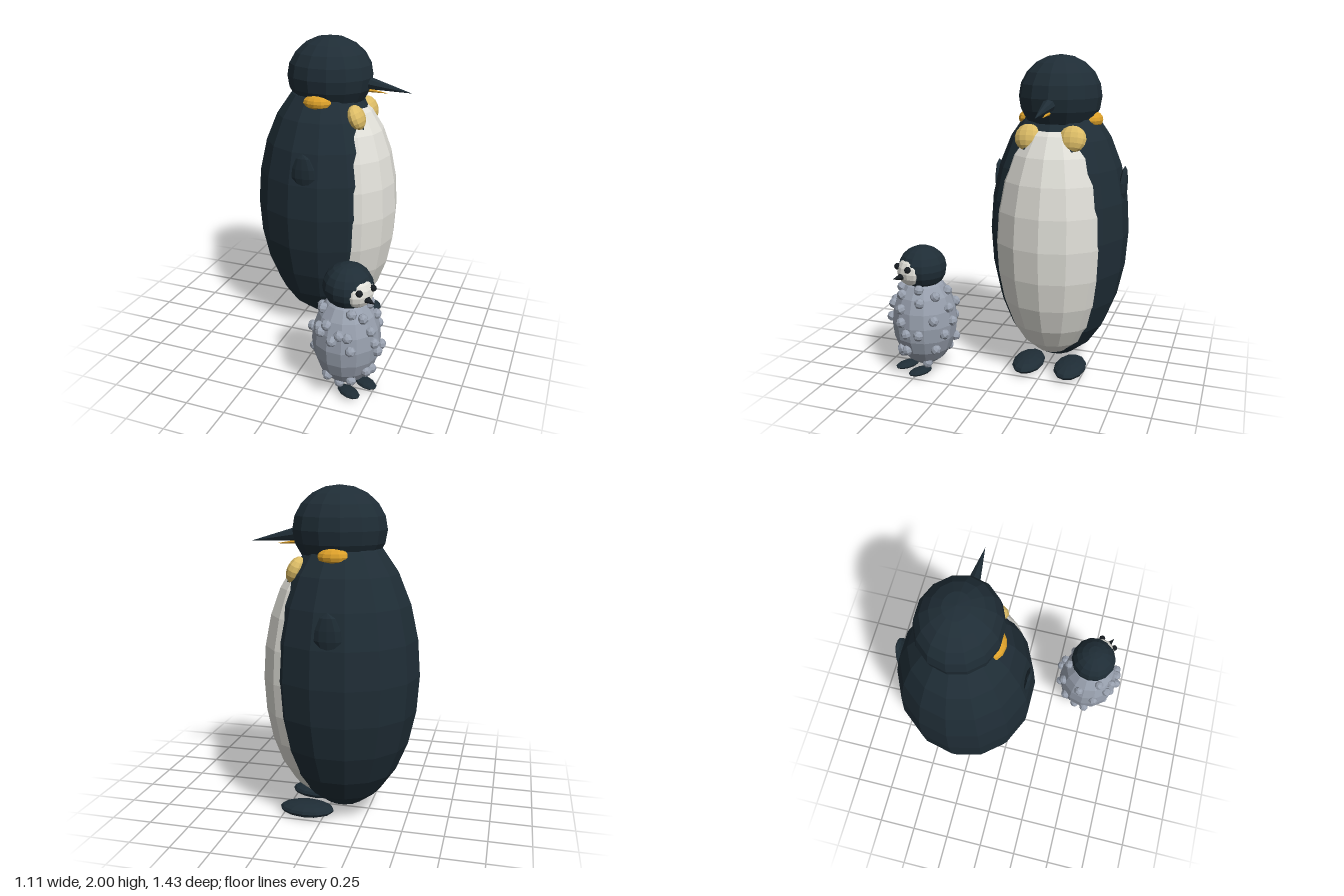
import * as THREE from 'three';

const paint = (name, color) => {
  const m = new THREE.MeshStandardMaterial({ color, flatShading: true });
  m.name = name;
  return m;
};

export function createModel() {
  const dark = paint('slate black', 0x1f2d36);
  const white = paint('belly white', 0xe0dfd8);
  const gold = paint('gold', 0xdca02a);
  const pale = paint('pale yellow', 0xdcbc66);
  const grey = paint('down grey', 0x98a0ae);
  const black = paint('beak black', 0x171c21);

  const add = (parent, name, geo, mat, pos) => {
    const mesh = new THREE.Mesh(geo, mat);
    mesh.name = name;
    mesh.position.set(...pos);
    parent.add(mesh);
    return mesh;
  };
  const ball = (parent, name, mat, pos, radii, w = 14, h = 10) =>
    add(parent, name, new THREE.SphereGeometry(1, w, h).scale(...radii), mat, pos);
  // Cone stretched from a base point to a tip in the xy plane
  const spike = (parent, name, mat, from, to, radius, sides = 8) => {
    const dx = to[0] - from[0], dy = to[1] - from[1];
    const geo = new THREE.ConeGeometry(radius, Math.hypot(dx, dy), sides);
    const mesh = add(parent, name, geo, mat, [(from[0] + to[0]) / 2, (from[1] + to[1]) / 2, 0]);
    mesh.rotation.z = Math.atan2(dy, dx) - Math.PI / 2;
    return mesh;
  };

  const root = new THREE.Group();
  root.name = 'penguinFamily';

  // Adult, facing +x
  const adult = new THREE.Group();
  adult.name = 'adult';
  adult.position.z = -0.283;
  root.add(adult);
  ball(adult, 'adultBody', dark, [-0.1, 0.9, 0], [0.455, 0.85, 0.44], 14, 12);
  ball(adult, 'adultBelly', white, [0.03, 0.873, 0], [0.36, 0.763, 0.375], 14, 12);
  ball(adult, 'adultHead', dark, [-0.07, 1.75, 0], [0.281, 0.25, 0.254], 14, 10);
  spike(adult, 'upperBeak', dark, [0.16, 1.72], [0.47, 1.67], 0.045);
  spike(adult, 'lowerBeak', gold, [0.16, 1.672], [0.32, 1.657], 0.016, 6);

  const flipperProfile = [[0, -0.12], [0.055, -0.1], [0.082, -0.04], [0.075, 0.02], [0.045, 0.09], [0, 0.12]]
    .map(([x, y]) => new THREE.Vector2(x, y));
  for (const s of [1, -1]) {
    ball(adult, 'neckPatch', gold, [-0.083, 1.61, s * 0.2], [0.095, 0.052, 0.066], 12, 8);
    const chest = ball(adult, 'chestPatch', pale, [0.155, 1.52, s * 0.135], [0.052, 0.082, 0.085], 12, 8);
    chest.rotation.z = 0.4;
    const flipper = add(adult, 'flipper', new THREE.LatheGeometry(flipperProfile, 10).scale(1, 1, 0.33),
      dark, [-0.1, 1.215, s * 0.4]);
    flipper.rotation.x = s * 0.08;
    ball(adult, 'adultFoot', dark, [0.105, 0.043, s * 0.138], [0.17, 0.043, 0.1], 12, 8);
  }

  // Chick, turned a little toward +z
  const chick = new THREE.Group();
  chick.name = 'chick';
  chick.position.set(0.325, 0, 0.485);
  root.add(chick);
  const facing = new THREE.Group();
  facing.name = 'chickParts';
  facing.rotation.y = -0.5;
  chick.add(facing);
  const bodyR = [0.208, 0.3, 0.208], bodyY = 0.345;
  ball(facing, 'chickBody', grey, [0, bodyY, 0], bodyR, 14, 10);
  ball(facing, 'chickHead', dark, [0.008, 0.695, 0], [0.152, 0.138, 0.152], 14, 10);
  ball(facing, 'chickFace', white, [0.1, 0.685, 0], [0.076, 0.09, 0.1], 12, 8);
  spike(facing, 'chickBeak', black, [0.15, 0.667], [0.235, 0.662], 0.028);
  for (const s of [1, -1]) {
    ball(facing, 'chickEye', black, [0.16, 0.718, s * 0.054], [0.021, 0.021, 0.021], 8, 6);
    ball(facing, 'chickFoot', dark, [0.1, 0.034, s * 0.07], [0.085, 0.022, 0.048], 10, 6);
  }

  // Down tufts, placed on the body by compass angle (from +x toward +z) and height
  const tuft = (angle, y) => {
    const r = bodyR[0] * Math.sqrt(Math.max(0, 1 - ((y - bodyY) / bodyR[1]) ** 2));
    const t = ball(chick, 'tuft', grey, [r * Math.cos(angle), y, r * Math.sin(angle)], [0.033, 0.033, 0.033], 7, 5);
    t.rotation.set(angle, y * 9, 0);
  };
  const tufts = [
    [112, 0.5], [97, 0.42], [84, 0.46], [65, 0.37], [115, 0.15], [15, 0.19], [130, 0.47], [122, 0.45],
    [10, 0.31], [160, 0.42], [175, 0.25], [35, 0.54], [60, 0.57], [100, 0.07], [25, 0.46], [20, 0.38],
    [-15, 0.51], [-13, 0.31], [30, 0.19], [70, 0.45], [-75, 0.46], [-80, 0.37], [-30, 0.08], [-45, 0.2],
    [60, 0.13], [-50, 0.54], [-95, 0.55], [-120, 0.45], [-100, 0.24], [-140, 0.33], [-165, 0.5],
    [-130, 0.14], [-40, 0.4], [-160, 0.15], [-60, 0.3], [145, 0.56], [150, 0.1], [-10, 0.58]];
  for (const [deg, y] of tufts) tuft(THREE.MathUtils.degToRad(deg), y);

  return root;
}
